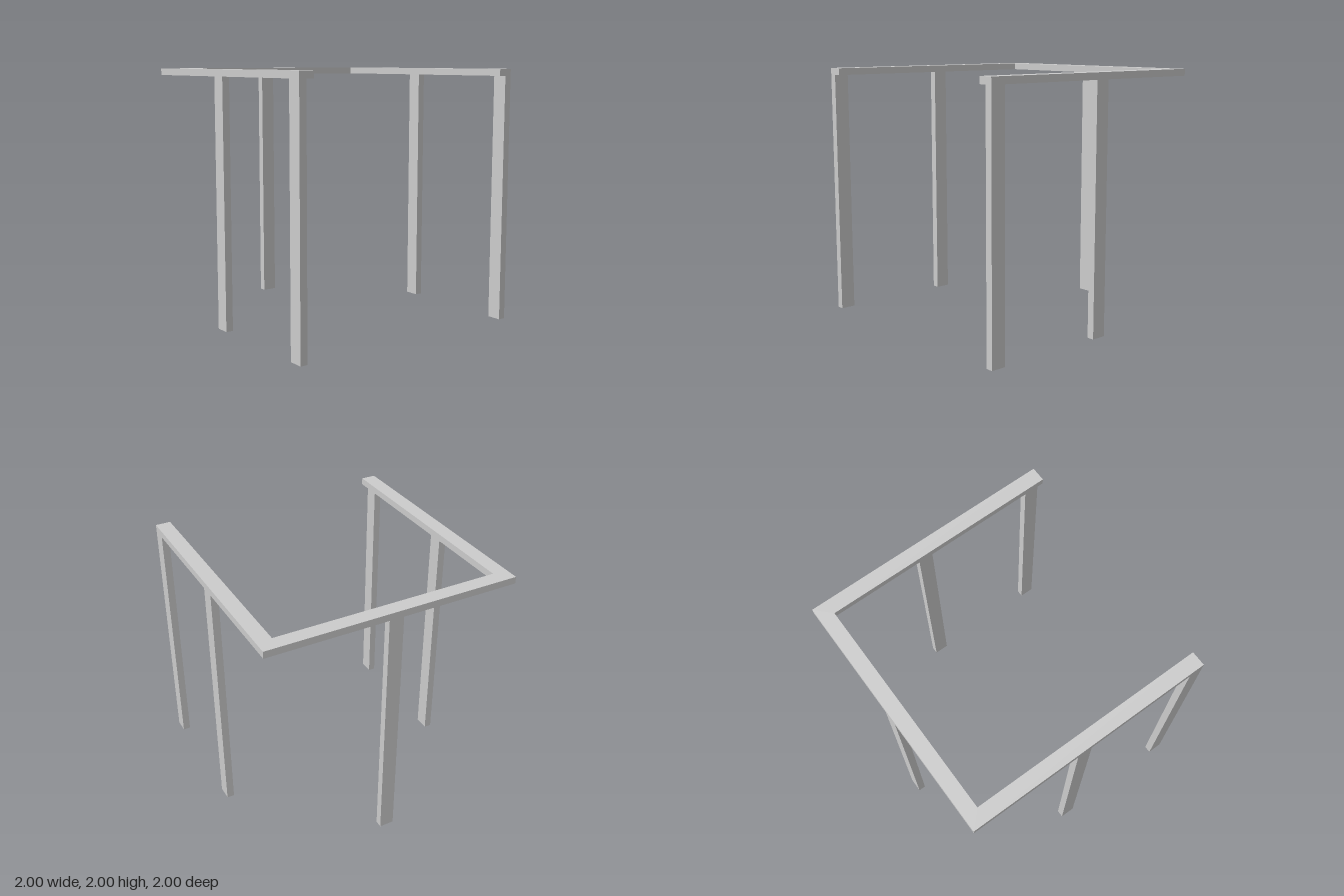
import * as THREE from 'three';

const WIDE = 0.118; // broad side of the timber
const THIN = 0.058; // narrow side of the posts
const RAIL = 0.054; // height of the top rail

export function createModel() {
  const group = new THREE.Group();
  const material = new THREE.MeshStandardMaterial({ color: 0xcccccc, flatShading: true });
  const postHeight = 2 - RAIL;

  function addPost(name, x, z, width, depth) {
    const post = new THREE.Mesh(new THREE.BoxGeometry(width, postHeight, depth), material);
    post.name = name;
    post.position.set(x, postHeight / 2, z);
    group.add(post);
  }

  // U-shaped top rail, open at the front (shape y becomes -z)
  const inner = 1 - WIDE;
  const outline = [
    [-1, -1], [-inner, -1], [-inner, 0.885], [inner, 0.885],
    [inner, -1], [1, -1], [1, 1], [-1, 1],
  ].map(([x, y]) => new THREE.Vector2(x, y));
  const railGeometry = new THREE.ExtrudeGeometry(new THREE.Shape(outline), {
    depth: RAIL, bevelEnabled: false,
  });
  railGeometry.rotateX(-Math.PI / 2);
  const rail = new THREE.Mesh(railGeometry, material);
  rail.name = 'topRail';
  rail.position.y = postHeight;
  group.add(rail);

  // Side posts, flush with the outer edge of the rail
  for (const [side, label] of [[1, 'left'], [-1, 'right']]) {
    const x = side * (1 - THIN / 2);
    addPost(label + 'FrontPost', x, 1 - WIDE / 2, THIN, WIDE);
    addPost(label + 'MiddlePost', x, -WIDE / 2, THIN, WIDE);
  }

  // Single post in the middle of the back
  addPost('backPost', 0, -1 + THIN / 2, 0.115, THIN);

  return group;
}
